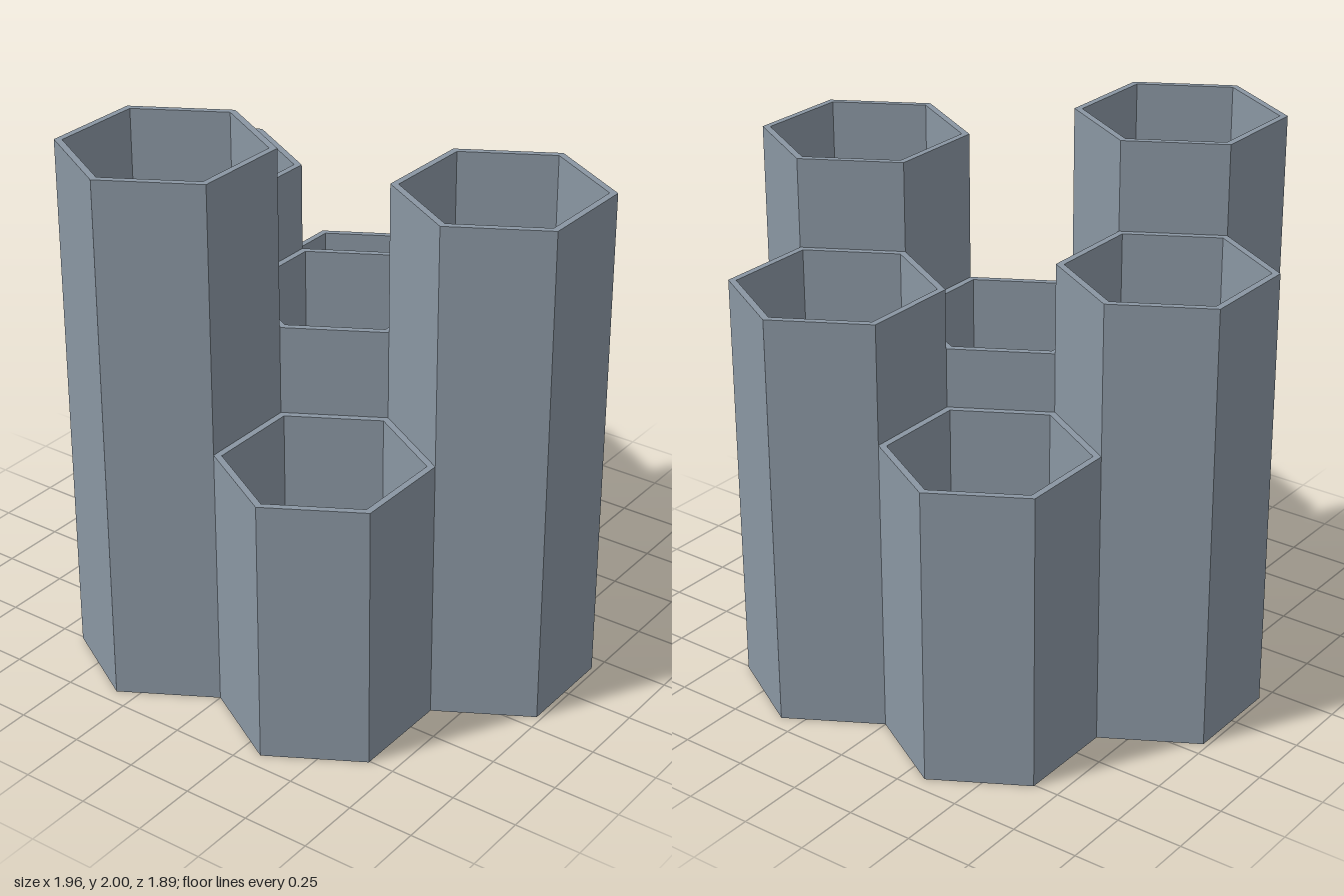
import * as THREE from 'three';

export function createModel() {
  const group = new THREE.Group();
  group.name = 'hexagonalTubeOrganizer';

  const slateGrey = new THREE.MeshStandardMaterial({ color: 0x8a96a2, flatShading: true });
  slateGrey.name = 'slateGrey';

  const pitch = 0.6547;               // distance between neighbouring cells
  const outer = pitch / Math.sqrt(3); // outer corner radius
  const inner = 0.35;                 // inner corner radius
  const floor = 0.03;

  // Open-topped six-sided cup with a thin wall and a closed floor
  function addTube(name, x, z, height) {
    const profile = [
      [0, 0], [outer, 0], [outer, height], [inner, height], [inner, floor], [0, floor],
    ].map(([r, y]) => new THREE.Vector2(r, y));
    const tube = new THREE.Mesh(new THREE.LatheGeometry(profile, 6), slateGrey);
    tube.name = name;
    tube.position.set(x, 0, z);
    group.add(tube);
  }

  addTube('centreTube', 0, 0, 12 / 9);

  // Ring of six tubes, counter-clockwise from +x as seen from above
  const ring = [
    ['leftTube', 17 / 9],
    ['backLeftTube', 14 / 9],
    ['backRightTube', 10 / 9],
    ['rightTube', 15 / 9],
    ['frontRightTube', 2],
    ['frontLeftTube', 1],
  ];
  ring.forEach(([name, height], i) => {
    const a = (i * Math.PI) / 3;
    addTube(name, pitch * Math.cos(a), -pitch * Math.sin(a), height);
  });

  return group;
}
